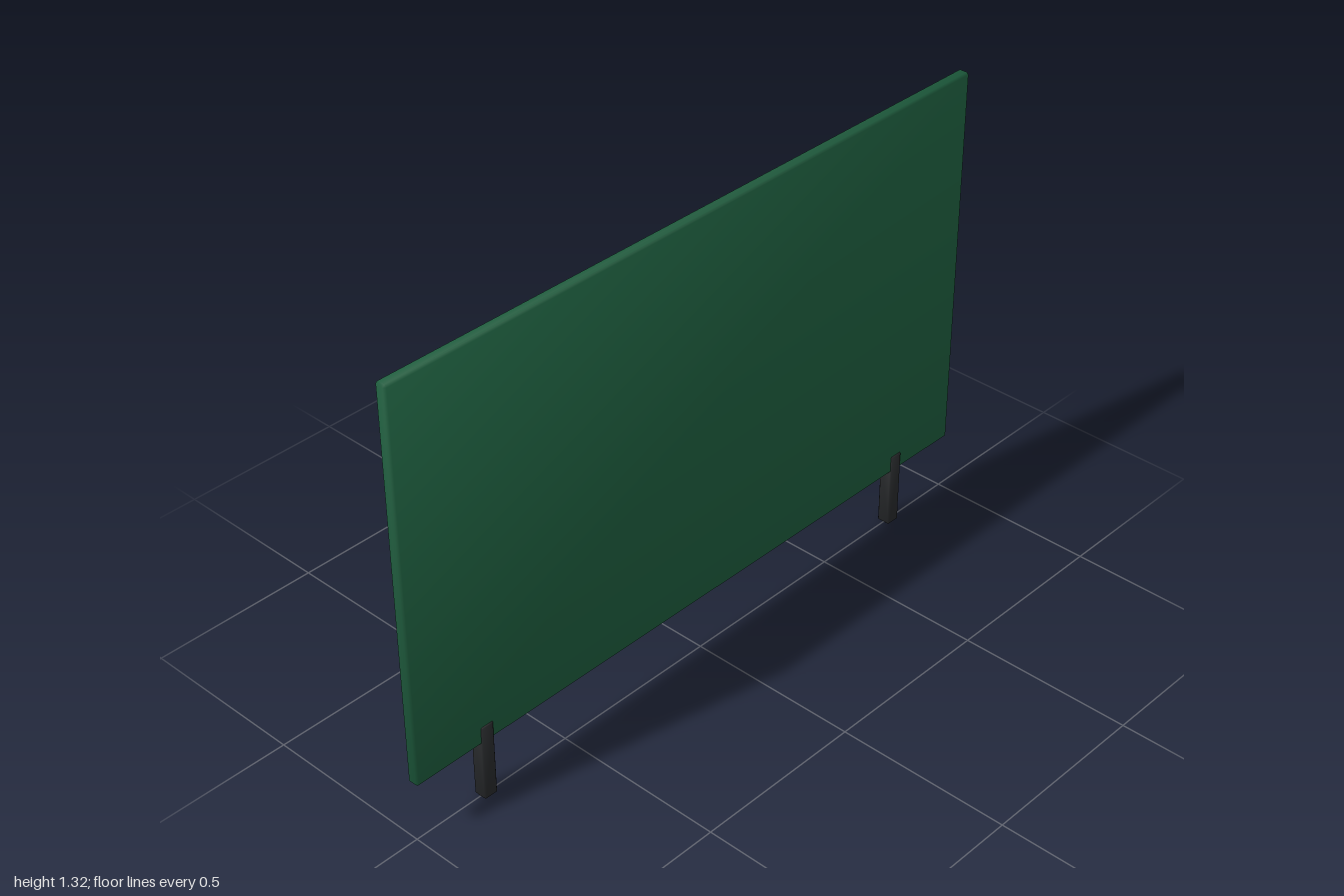
import * as THREE from 'three';
import { ConvexGeometry } from 'three/addons/geometries/ConvexGeometry.js';

// Box with chamfered edges and softly blended normals
function chamferBox(w, h, d, bevel) {
  const half = [w / 2, h / 2, d / 2];
  const points = [];
  for (const sx of [-1, 1]) for (const sy of [-1, 1]) for (const sz of [-1, 1]) {
    for (let axis = 0; axis < 3; axis++) {
      const p = [sx, sy, sz].map((s, i) => s * (half[i] - (i === axis ? 0 : bevel)));
      points.push(new THREE.Vector3(...p));
    }
  }
  const geo = new ConvexGeometry(points);
  const pos = geo.attributes.position;
  const n = new THREE.Vector3();
  // Each corner leans mostly towards the flat face it belongs to
  for (let i = 0; i < pos.count; i++) {
    const p = [pos.getX(i), pos.getY(i), pos.getZ(i)];
    n.fromArray(p.map((v, k) => Math.sign(v) * (Math.abs(v) > half[k] - bevel / 2 ? 1 : 0.38))).normalize();
    geo.attributes.normal.setXYZ(i, n.x, n.y, n.z);
  }
  return geo;
}

export function createModel() {
  const model = new THREE.Group();
  model.name = 'standingBoard';
  const green = new THREE.MeshStandardMaterial({ color: 0x1d5c3d });
  const black = new THREE.MeshStandardMaterial({ color: 0x26282a });

  // Thin upright panel
  const panel = new THREE.Mesh(chamferBox(2, 1.14, 0.034, 0.006), green);
  panel.name = 'panel';
  panel.position.y = 0.746;
  model.add(panel);

  // Two short posts clasping the lower edge
  const legGeo = chamferBox(0.042, 0.23, 0.04, 0.004);
  for (const side of [-1, 1]) {
    const leg = new THREE.Mesh(legGeo, black);
    leg.name = side > 0 ? 'leftLeg' : 'rightLeg';
    leg.position.set(side * 0.772, 0.115, 0);
    model.add(leg);
  }
  return model;
}
